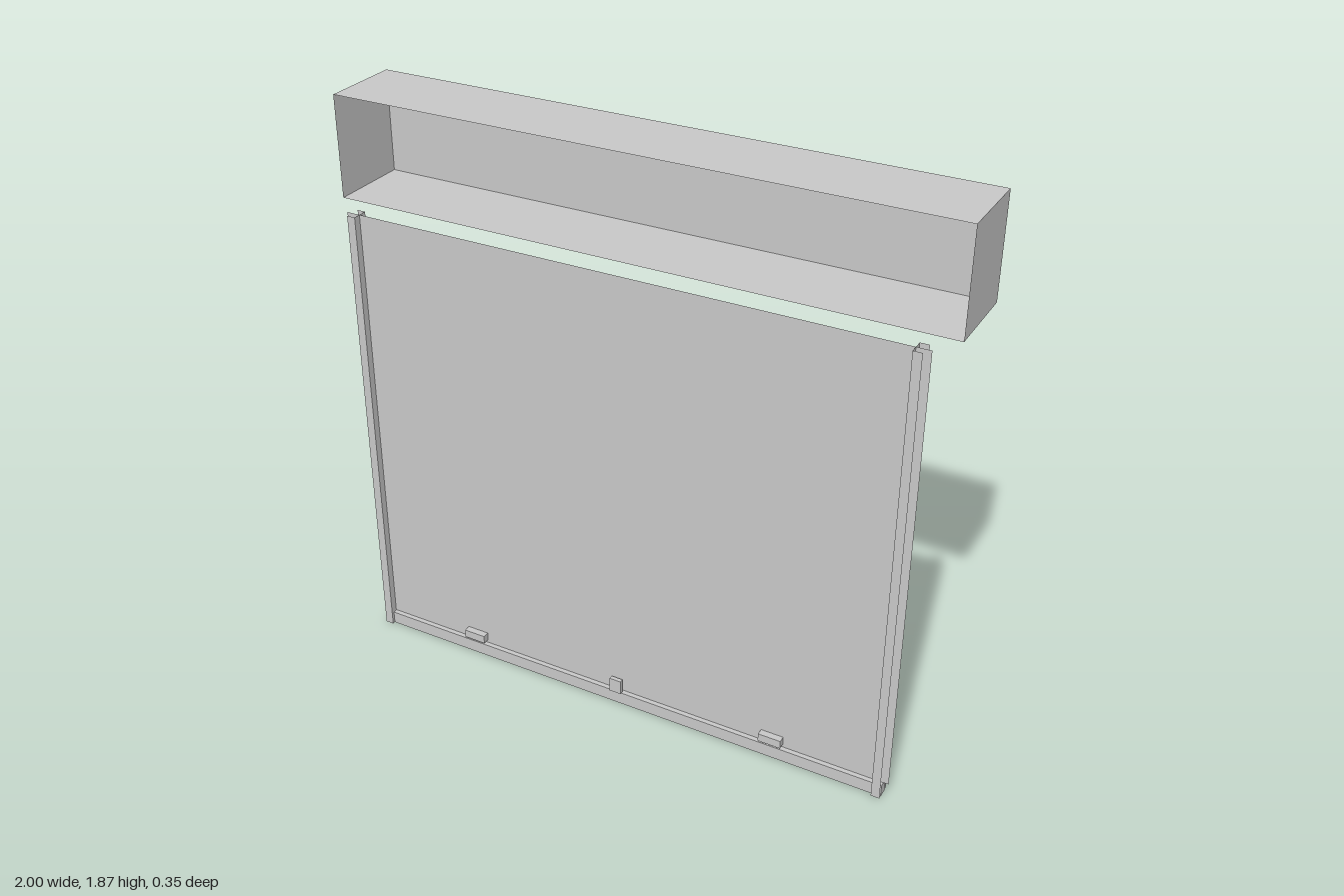
import * as THREE from 'three';

export function createModel() {
  const model = new THREE.Group();
  model.name = 'rollerShutter';

  const grey = new THREE.MeshStandardMaterial({ color: 0xc8c8c8, side: THREE.DoubleSide });
  grey.name = 'light grey metal';

  const add = (parent, name, geometry, x, y, z) => {
    const mesh = new THREE.Mesh(geometry, grey);
    mesh.name = name;
    mesh.position.set(x, y, z);
    parent.add(mesh);
    return mesh;
  };
  const box = (parent, name, x0, x1, y0, y1, z0, z1) =>
    add(parent, name, new THREE.BoxGeometry(x1 - x0, y1 - y0, z1 - z0),
      (x0 + x1) / 2, (y0 + y1) / 2, (z0 + z1) / 2);
  const sheet = (parent, name, w, h, x, y, z, rx = 0, ry = 0) =>
    add(parent, name, new THREE.PlaneGeometry(w, h), x, y, z).rotation.set(rx, ry, 0);

  // Housing of sheet metal, open at the front
  const housing = new THREE.Group();
  housing.name = 'housing';
  model.add(housing);
  const y0 = 1.542, y1 = 1.872, z0 = -0.177, z1 = 0.088;
  const yMid = (y0 + y1) / 2, zMid = (z0 + z1) / 2;
  sheet(housing, 'housingBack', 2, y1 - y0, 0, yMid, z0, 0, Math.PI);
  sheet(housing, 'housingTop', 2, z1 - z0, 0, y1, zMid, -Math.PI / 2);
  sheet(housing, 'housingBottom', 2, z1 - z0, 0, y0, zMid, Math.PI / 2);
  for (const s of [-1, 1]) {
    sheet(housing, 'housingEnd', z1 - z0, y1 - y0, s, yMid, zMid, 0, s * Math.PI / 2);
  }

  // Curtain, running inside the guides at both edges
  const curtainZ = 0.15, curtainBottom = 0.045, guideTop = 1.53;
  sheet(model, 'curtain', 1.876, guideTop - curtainBottom,
    0, (guideTop + curtainBottom) / 2, curtainZ);

  // Bottom bar
  box(model, 'bottomBar', -0.921, 0.921, 0, 0.043, 0.13, 0.164);

  // Side guides: channels that open outwards, with the web on the inner side
  const front = 0.174, back = 0.122, inner = 0.893, outer = 0.921;
  for (const s of [-1, 1]) {
    const guide = new THREE.Group();
    guide.name = s > 0 ? 'leftGuide' : 'rightGuide';
    model.add(guide);
    const x = s * (inner + outer) / 2;
    sheet(guide, 'frontFlange', outer - inner, guideTop, x, guideTop / 2, front);
    sheet(guide, 'backFlange', outer - inner, guideTop, x, guideTop / 2, back, 0, Math.PI);
    sheet(guide, 'web', front - back, guideTop, s * inner, guideTop / 2,
      (front + back) / 2, 0, -s * Math.PI / 2);
  }

  // Handles and central lock on the curtain
  for (const s of [-1, 1]) {
    box(model, 'handle', s * 0.548 - 0.038, s * 0.548 + 0.038, 0.056, 0.084, curtainZ, 0.173);
  }
  box(model, 'lock', -0.02, 0.02, 0.05, 0.1, 0.163, 0.177);

  return model;
}
